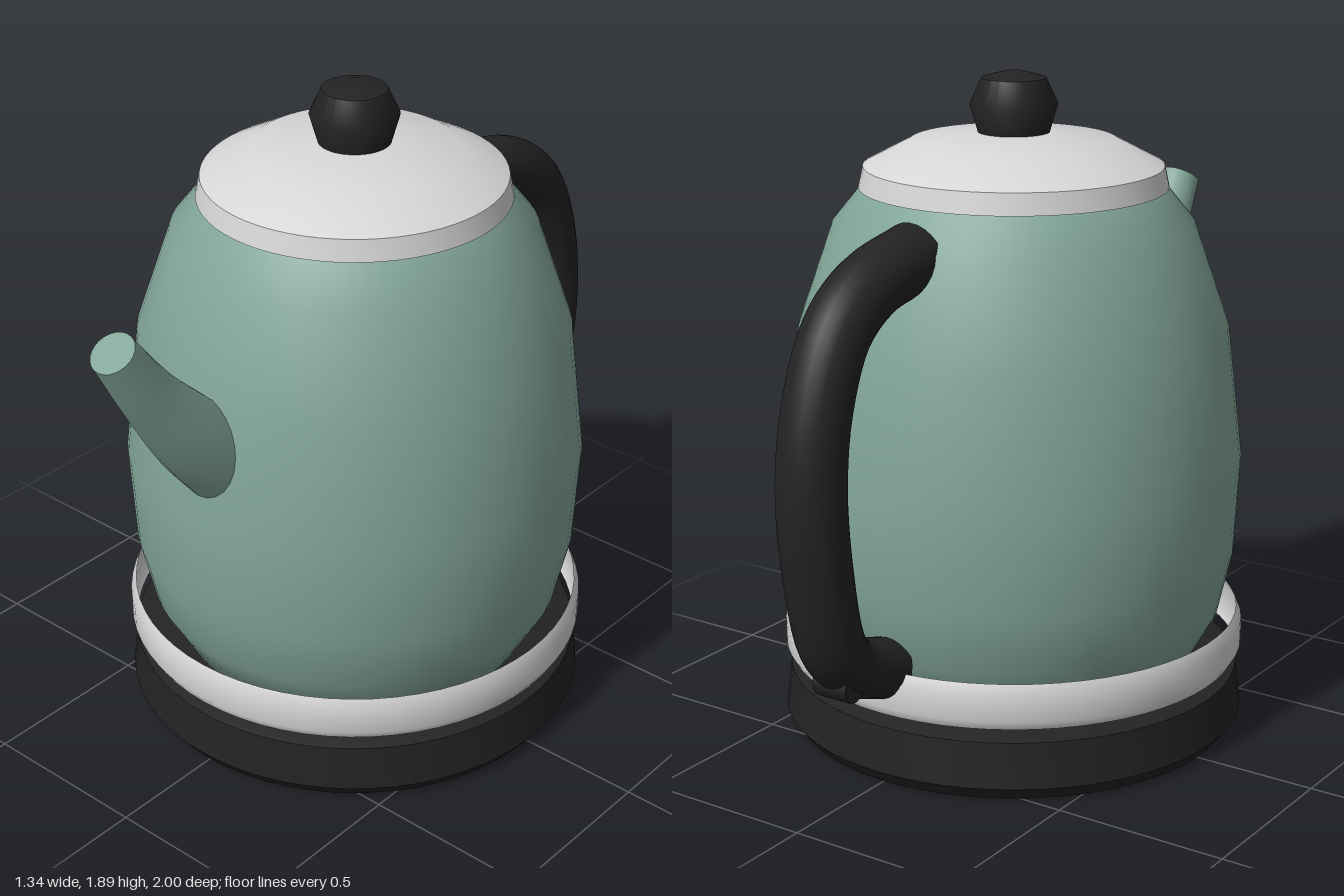
import * as THREE from 'three';
import { toCreasedNormals } from 'three/addons/utils/BufferGeometryUtils.js';

const AXIS_Z = 0.02; // the round parts share this axis

// Round part from a bottom-to-top profile of [radius, y]
function turned(name, profile, material, crease) {
  let geo = new THREE.LatheGeometry(profile.map(([r, y]) => new THREE.Vector2(r, y)), 64);
  if (crease) geo = toCreasedNormals(geo, crease);
  const mesh = new THREE.Mesh(geo, material);
  mesh.name = name;
  mesh.position.z = AXIS_Z;
  return mesh;
}

// Capped tube swept through stations of [z, y, radius] in the x = 0 plane
function swept(name, stations, material, steps, sides = 24) {
  const path = new THREE.CatmullRomCurve3(stations.map(([z, y]) => new THREE.Vector3(0, y, z)));
  const radii = new THREE.CatmullRomCurve3(stations.map(([, , r], i) => new THREE.Vector3(r, i, 0)));
  const pos = [], index = [];
  for (let i = 0; i <= steps; i++) {
    const t = i / steps;
    const c = path.getPoint(t), d = path.getTangent(t), r = radii.getPoint(t).x;
    for (let j = 0; j < sides; j++) {
      const a = (j / sides) * Math.PI * 2;
      const u = Math.cos(a) * r, v = Math.sin(a) * r;
      pos.push(u, c.y + v * d.z, c.z - v * d.y);
    }
  }
  for (let i = 0; i < steps; i++) {
    for (let j = 0; j < sides; j++) {
      const k = (j + 1) % sides;
      const a = i * sides + j, b = i * sides + k;
      index.push(a, b, a + sides, b, b + sides, a + sides);
    }
  }
  const last = steps * sides;
  for (let j = 1; j < sides - 1; j++) {
    index.push(0, j + 1, j, last, last + j, last + j + 1);
  }
  const geo = new THREE.BufferGeometry();
  geo.setAttribute('position', new THREE.Float32BufferAttribute(pos, 3));
  geo.setIndex(index);
  const mesh = new THREE.Mesh(toCreasedNormals(geo, 0.8), material);
  mesh.name = name;
  return mesh;
}

export function createModel() {
  const flat = (name, color) => {
    const m = new THREE.MeshStandardMaterial({ color, side: THREE.DoubleSide });
    m.name = name;
    return m;
  };
  const green = flat('sage green', 0x82a598);
  const silver = flat('light grey', 0xd6d6d6);
  const black = flat('black plastic', 0x232323);

  const kettle = new THREE.Group();
  kettle.name = 'kettle';

  // Heating base
  kettle.add(turned('base', [
    [0, 0], [0.64, 0], [0.67, 0.04], [0.655, 0.17], [0.59, 0.19], [0, 0.19],
  ], black, 0.4));

  // Vessel
  kettle.add(turned('body', [
    [0, 0.195], [0.52, 0.195], [0.6, 0.34], [0.64, 0.52], [0.655, 0.8],
    [0.61, 1.18], [0.51, 1.47], [0.425, 1.575],
  ], green));

  // Open band standing clear of the lower body
  kettle.add(turned('bottomBand', [
    [0.652, 0.208], [0.668, 0.235], [0.668, 0.305], [0.652, 0.34],
  ], silver));

  // Lid and its knob
  kettle.add(turned('lid', [
    [0, 1.57], [0.435, 1.57], [0.422, 1.63], [0.29, 1.7], [0.1, 1.722], [0, 1.722],
  ], silver, 0.6));
  kettle.add(turned('lidKnob', [
    [0, 1.715], [0.1, 1.72], [0.123, 1.8], [0.09, 1.872], [0.03, 1.889], [0, 1.889],
  ], black, 0.75));

  // Tapered spout at the front
  kettle.add(swept('spout', [
    [0.56, 0.96, 0.12], [0.69, 1.105, 0.108], [0.83, 1.28, 0.08], [0.945, 1.453, 0.063],
  ], green, 12));

  // Curved handle at the back
  kettle.add(swept('handle', [
    [-0.45, 1.455, 0.095], [-0.66, 1.408, 0.094], [-0.79, 1.315, 0.093], [-0.875, 1.13, 0.093],
    [-0.905, 0.92, 0.094], [-0.885, 0.68, 0.093], [-0.835, 0.475, 0.09], [-0.765, 0.395, 0.083],
    [-0.6, 0.33, 0.085],
  ], black, 40));

  // Small stop under the lower bend of the handle
  const stop = new THREE.Mesh(new THREE.CylinderGeometry(0.045, 0.045, 0.11, 12), black);
  stop.name = 'handleStop';
  stop.rotation.z = Math.PI / 2;
  stop.position.set(0, 0.36, -0.81);
  kettle.add(stop);

  return kettle;
}
